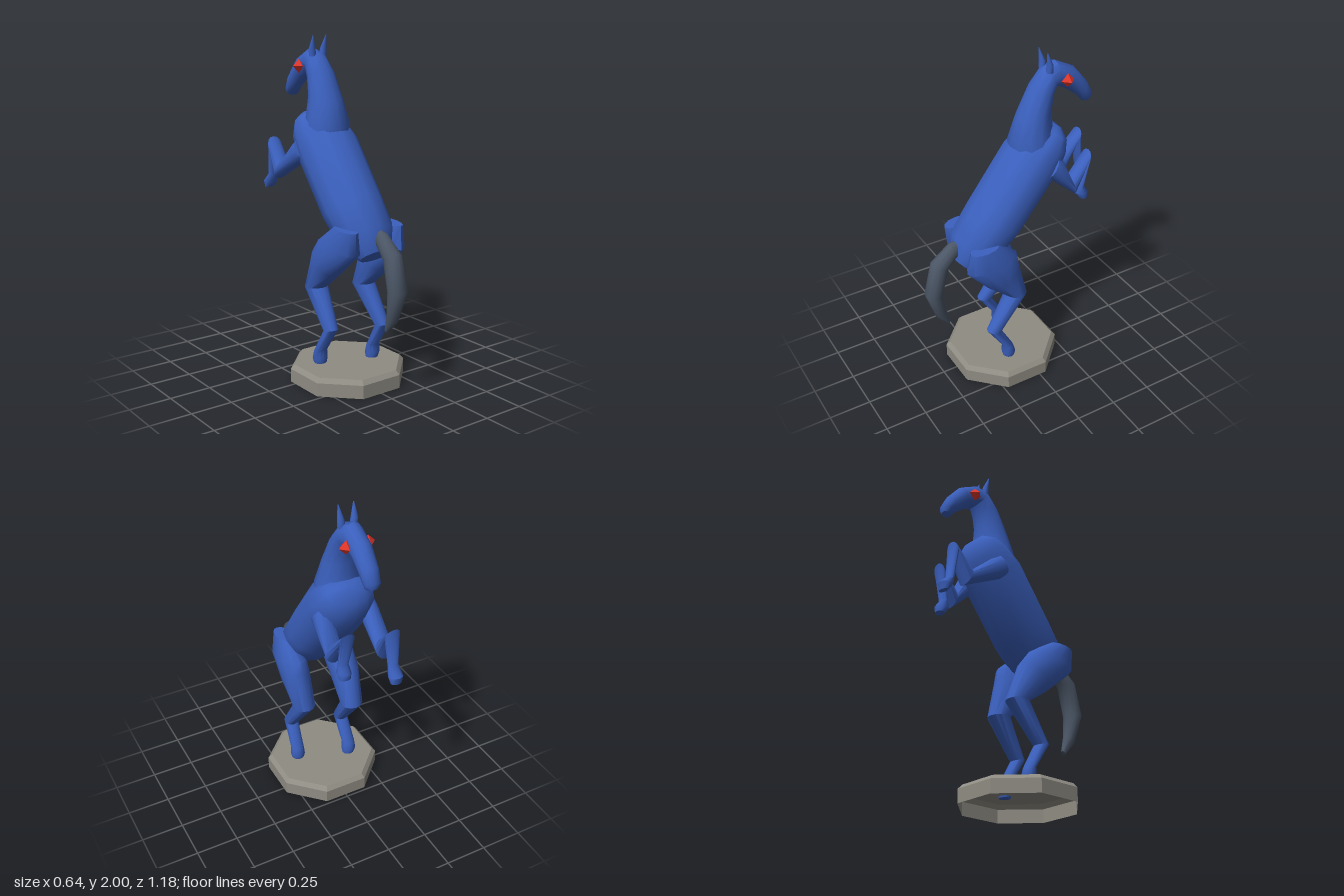
import * as THREE from 'three';
import { toCreasedNormals } from 'three/addons/utils/BufferGeometryUtils.js';

const SIDES = 12;

// Closed loft in the y-z plane; each section is [zA, yA, zB, yB, halfWidth, x],
// an ellipse whose one axis runs from A to B and the other along x.
function loft(sections) {
  const pos = [], index = [];
  for (const [zA, yA, zB, yB, w, x = 0] of sections) {
    for (let j = 0; j < SIDES; j++) {
      const t = (j / SIDES) * Math.PI * 2, c = Math.cos(t) / 2;
      pos.push(x + w * Math.sin(t), (yA + yB) / 2 + c * (yA - yB), (zA + zB) / 2 + c * (zA - zB));
    }
  }
  const last = sections.length - 1;
  for (const [zA, yA, zB, yB, , x = 0] of [sections[0], sections[last]]) {
    pos.push(x, (yA + yB) / 2, (zA + zB) / 2);
  }
  const startCap = sections.length * SIDES, endCap = startCap + 1;
  for (let j = 0; j < SIDES; j++) {
    const k = (j + 1) % SIDES;
    for (let i = 0; i < last; i++) {
      const a = i * SIDES + j, b = i * SIDES + k;
      index.push(a, b, b + SIDES, a, b + SIDES, a + SIDES);
    }
    index.push(startCap, k, j, endCap, last * SIDES + j, last * SIDES + k);
  }
  const geo = new THREE.BufferGeometry();
  geo.setAttribute('position', new THREE.Float32BufferAttribute(pos, 3));
  geo.setIndex(index);
  return toCreasedNormals(geo, 0.8);
}

function material(name, color, side = THREE.FrontSide) {
  const m = new THREE.MeshStandardMaterial({ color, side });
  m.name = name;
  return m;
}

export function createModel() {
  const group = new THREE.Group();
  const coat = material('blue coat', 0x3a5fbc);
  const tailGrey = material('slate tail', 0x4b5666);
  const eyeRed = material('red eye', 0xdc3529);
  const stone = material('stone', 0x8f8c83, THREE.DoubleSide);

  const add = (name, geo, mat) => {
    const mesh = new THREE.Mesh(geo, mat);
    mesh.name = name;
    group.add(mesh);
    return mesh;
  };

  // Octagonal plinth, hollow underneath
  const R = 0.32 / Math.cos(Math.PI / 8);
  const profile = [[R, 0], [R, 0.08], [R - 0.024, 0.105], [0, 0.105]].map(p => new THREE.Vector2(...p));
  const plinth = new THREE.LatheGeometry(profile, 8, Math.PI / 8).toNonIndexed();
  plinth.computeVertexNormals();
  add('plinth', plinth, stone).position.z = 0.09;

  // Torso: [distance along the leaning axis, belly offset, back offset, half width]
  const at = (s, o) => [-0.605 * s + 0.796 * o, 0.796 * s + 0.605 * o];
  const torso = [
    [0.43, 0.68, 0.83, 0.1], [0.55, 0.6, 0.9, 0.17], [0.75, 0.565, 0.905, 0.185],
    [1.15, 0.565, 0.905, 0.19], [1.28, 0.585, 0.87, 0.17], [1.35, 0.635, 0.82, 0.14], [1.39, 0.7, 0.765, 0.08],
  ];
  add('torso', loft(torso.map(([s, belly, back, w]) => [...at(s, back), ...at(s, belly), w])), coat);

  // Neck and head
  add('neckAndHead', loft([
    [0.0, 1.37, -0.24, 1.45, 0.145],
    [0.02, 1.475, -0.23, 1.57, 0.13],
    [-0.03, 1.635, -0.23, 1.67, 0.1],
    [-0.11, 1.8, -0.245, 1.75, 0.085],
    [-0.185, 1.895, -0.262, 1.785, 0.074],
    [-0.26, 1.927, -0.285, 1.765, 0.062],
    [-0.38, 1.865, -0.335, 1.74, 0.06],
    [-0.465, 1.765, -0.41, 1.68, 0.054],
    [-0.503, 1.69, -0.445, 1.638, 0.045],
    [-0.495, 1.65, -0.465, 1.635, 0.025],
  ]), coat);

  // Ears and eyes
  for (const side of [1, -1]) {
    add('ear', loft([
      [-0.185, 1.88, -0.225, 1.88, 0.022, side * 0.036],
      [-0.187, 1.93, -0.224, 1.92, 0.02, side * 0.04],
      [-0.183, 2.0, -0.187, 2.0, 0.003, side * 0.045],
    ]), coat);
    add('eye', new THREE.OctahedronGeometry(0.041), eyeRed).position.set(side * 0.064, 1.82, -0.307);
  }

  // Tail
  add('tail', loft([
    [0.34, 0.86, 0.39, 0.96, 0.03],
    [0.39, 0.85, 0.42, 0.95, 0.042],
    [0.44, 0.8, 0.54, 0.85, 0.055],
    [0.485, 0.64, 0.59, 0.64, 0.06],
    [0.465, 0.5, 0.53, 0.46, 0.036],
    [0.44, 0.405, 0.46, 0.382, 0.015],
  ]), tailGrey);

  // Hind legs; the right one steps further forward by the last number
  const hind = [
    [0.19, 0.97, 0.37, 0.955, 0.05, 0.16, 0],
    [0.07, 0.87, 0.39, 0.82, 0.086, 0.149, -0.03],
    [0.058, 0.79, 0.25, 0.66, 0.084, 0.145, -0.08],
    [0, 0.555, 0.13, 0.56, 0.07, 0.135, -0.105],
    [0.18, 0.325, 0.267, 0.34, 0.044, 0.15, -0.1],
    [0.1, 0.18, 0.165, 0.185, 0.042, 0.155, -0.105],
    [0.086, 0.13, 0.17, 0.14, 0.046, 0.155, -0.105],
    [0.095, 0.095, 0.16, 0.095, 0.036, 0.152, -0.105],
  ];
  add('leftHindLeg', loft(hind.map(s => s.slice(0, 6))), coat);
  add('rightHindLeg', loft(hind.map(([zA, yA, zB, yB, w, x, step]) => [zA + step, yA, zB + step, yB, w, -x])), coat);

  // Raised forelegs
  add('leftForeleg', loft([
    [-0.2, 1.405, -0.13, 1.3, 0.04, 0.15],
    [-0.235, 1.38, -0.16, 1.275, 0.055, 0.14],
    [-0.295, 1.24, -0.32, 1.13, 0.055, 0.13],
    [-0.432, 1.375, -0.405, 1.29, 0.046, 0.113],
    [-0.402, 1.15, -0.36, 1.15, 0.032, 0.115],
    [-0.433, 1.105, -0.35, 1.105, 0.042, 0.115],
    [-0.428, 1.07, -0.38, 1.065, 0.034, 0.115],
  ]), coat);
  add('rightForeleg', loft([
    [-0.2, 1.405, -0.13, 1.3, 0.04, -0.15],
    [-0.235, 1.38, -0.16, 1.275, 0.055, -0.14],
    [-0.385, 1.25, -0.43, 1.14, 0.055, -0.125],
    [-0.518, 1.385, -0.485, 1.3, 0.048, -0.113],
    [-0.54, 1.16, -0.5, 1.15, 0.032, -0.115],
    [-0.588, 1.11, -0.515, 1.1, 0.044, -0.115],
    [-0.58, 1.065, -0.54, 1.07, 0.034, -0.115],
  ]), coat);

  return group;
}
